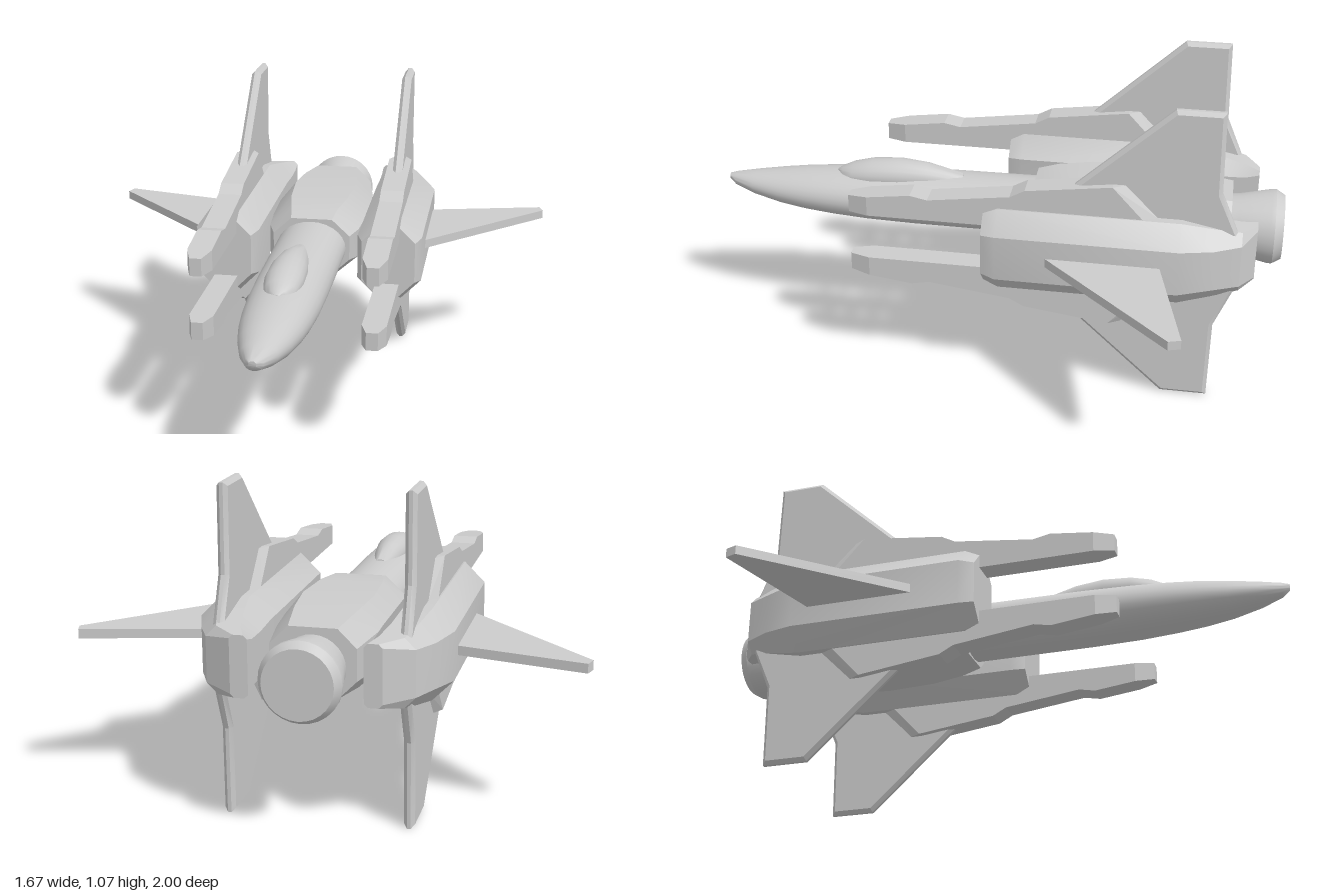
import * as THREE from 'three';
import { toCreasedNormals } from 'three/addons/utils/BufferGeometryUtils.js';

const MID = 0.54; // height of the horizontal symmetry plane
const material = new THREE.MeshStandardMaterial({ color: 0xcccccc });

// Skin closed rings of [x, y, z] (counter-clockwise from the front, listed front to back)
function loft(rings) {
  const n = rings[0].length, index = [];
  for (let i = 0; i < rings.length - 1; i++) {
    for (let j = 0; j < n; j++) {
      const a = i * n + j, b = i * n + (j + 1) % n, c = a + n, d = b + n;
      index.push(a, c, b, b, c, d);
    }
  }
  const last = (rings.length - 1) * n;
  for (let j = 1; j < n - 1; j++) {
    index.push(0, j, j + 1, last, last + j + 1, last + j);
  }
  const geo = new THREE.BufferGeometry();
  geo.setAttribute('position', new THREE.Float32BufferAttribute(rings.flat(2), 3));
  geo.setIndex(index);
  return geo;
}

// Ring of an ellipse
function ellipse(z, hw, y0, y1, n = 28) {
  return Array.from({ length: n }, (_, i) => {
    const a = (i / n) * Math.PI * 2;
    return [hw * Math.cos(a), (y0 + y1) / 2 + ((y1 - y0) / 2) * Math.sin(a), z];
  });
}

// Ring of a rectangle with cut corners
function octagon(z, x0, x1, y0, y1, cx, cy) {
  return [
    [x1, y0 + cy, z], [x1, y1 - cy, z], [x1 - cx, y1, z], [x0 + cx, y1, z],
    [x0, y1 - cy, z], [x0, y0 + cy, z], [x0 + cx, y0, z], [x1 - cx, y0, z],
  ];
}

// Mirror a geometry across the model's planes, keeping faces outward
function mirrored(geo, sx, sy) {
  const g = geo.index ? geo.toNonIndexed() : geo.clone();
  g.scale(sx, sy, 1);
  if (sy < 0) g.translate(0, 2 * MID, 0);
  if (sx * sy < 0) {
    const p = g.attributes.position;
    const b = new THREE.Vector3(), c = new THREE.Vector3();
    for (let i = 0; i < p.count; i += 3) {
      b.fromBufferAttribute(p, i + 1);
      c.fromBufferAttribute(p, i + 2);
      p.setXYZ(i + 1, c.x, c.y, c.z);
      p.setXYZ(i + 2, b.x, b.y, b.z);
    }
  }
  return g;
}

function plate(points, options) {
  const shape = new THREE.Shape(points.map(([x, y]) => new THREE.Vector2(x, y)));
  return new THREE.ExtrudeGeometry(shape, { bevelEnabled: false, ...options });
}

export function createModel() {
  const model = new THREE.Group();
  model.name = 'starfighter';
  const add = (name, geo, crease = 0.55) => {
    const mesh = new THREE.Mesh(toCreasedNormals(geo, crease), material);
    mesh.name = name;
    model.add(mesh);
  };

  // Slender nose and forward fuselage: z, half width, bottom, top
  add('noseFuselage', loft([
    [1.0, 0.012, 0.545, 0.567], [0.975, 0.03, 0.525, 0.573], [0.9, 0.06, 0.5, 0.584],
    [0.8, 0.086, 0.477, 0.598], [0.7, 0.104, 0.463, 0.61], [0.6, 0.115, 0.454, 0.618],
    [0.47, 0.123, 0.446, 0.625], [0.3, 0.126, 0.442, 0.63], [-0.2, 0.126, 0.44, 0.635],
  ].map((s) => ellipse(...s))), 0.9);

  // Teardrop canopy
  add('canopy', loft([
    [0.59, 0.012, 0.59, 0.62], [0.57, 0.038, 0.57, 0.632], [0.53, 0.056, 0.56, 0.65],
    [0.46, 0.066, 0.56, 0.667], [0.36, 0.064, 0.56, 0.675], [0.26, 0.052, 0.56, 0.667],
    [0.13, 0.03, 0.56, 0.636],
  ].map((s) => ellipse(...s, 20))), 0.9);

  // Faceted central body: z, half width, half height, corner cuts
  add('centralBody', loft([
    [-0.13, 0.14, 0.105, 0.065, 0.06], [-0.2, 0.165, 0.122, 0.08, 0.07],
    [-0.32, 0.174, 0.13, 0.068, 0.075], [-0.5, 0.178, 0.132, 0.06, 0.075],
    [-0.65, 0.164, 0.127, 0.06, 0.07], [-0.82, 0.138, 0.112, 0.06, 0.06],
  ].map(([z, w, h, cx, cy]) => octagon(z, -w, w, MID - h, MID + h, cx, cy))), 0.5);

  // Engine nozzle
  const nozzle = new THREE.LatheGeometry([
    [0, 0.78], [0.1, 0.78], [0.108, 0.85], [0.13, 0.955], [0.13, 0.97], [0.112, 1.0], [0, 1.0],
  ].map(([r, y]) => new THREE.Vector2(r, y)), 28);
  nozzle.rotateX(-Math.PI / 2).translate(0, 0.525, 0);
  add('engineNozzle', nozzle, 0.4);

  // Side nacelle, tapering toward the inside at the rear
  const nacelle = loft([
    [0, 0.2, 0.39, 0.128, 0.055], [-0.05, 0.18, 0.41, 0.15, 0.07],
    [-0.66, 0.18, 0.41, 0.15, 0.07], [-0.77, 0.18, 0.372, 0.128, 0.055],
    [-0.86, 0.18, 0.328, 0.11, 0.035], [-0.91, 0.18, 0.237, 0.1, 0.012],
  ].map(([z, x0, x1, h, c]) => octagon(z, x0, x1, MID - h, MID + h, c, c)));

  // Cannon pod: top z, top y, bottom z, bottom y, half width
  const POD_X = 0.293;
  const cannon = loft([
    [0.468, 0.684, 0.468, 0.622, 0.02], [0.4, 0.692, 0.4, 0.622, 0.042],
    [0.25, 0.711, 0.25, 0.622, 0.042], [0.19, 0.699, 0.19, 0.622, 0.042],
    [-0.09, 0.736, -0.09, 0.622, 0.042], [-0.14, 0.763, -0.14, 0.622, 0.042],
    [-0.43, 0.801, -0.56, 0.66, 0.042], [-0.48, 0.801, -0.62, 0.66, 0.012],
  ].map(([zt, yt, zb, yb, w]) => [
    [POD_X + w, yb, zb], [POD_X + w, yt, zt], [POD_X - w, yt, zt], [POD_X - w, yb, zb],
  ]));

  // Swept fin with bevelled edges, drawn as (-z, y)
  const fin = plate(
    [[0.2, 0.69], [0.24, 0.66], [0.85, 0.635], [0.785, 0.79], [0.78, 1.077], [0.62, 1.077]],
    { depth: 0.012, bevelEnabled: true, bevelSegments: 1, bevelSize: 0.013, bevelOffset: -0.013, bevelThickness: 0.012 },
  );
  fin.rotateY(Math.PI / 2).translate(POD_X - 0.006, 0, 0);

  // Flat swept wing, drawn as (x, -z)
  const wing = plate([[0.36, 0.17], [0.835, 0.655], [0.822, 0.695], [0.36, 0.588]], { depth: 0.031 });
  wing.rotateX(-Math.PI / 2).translate(0, MID - 0.0155, 0);

  for (const [side, sx] of [['left', 1], ['right', -1]]) {
    add(side + 'Nacelle', mirrored(nacelle, sx, 1), 0.45);
    add(side + 'Wing', mirrored(wing, sx, 1));
    for (const [level, sy] of [['Upper', 1], ['Lower', -1]]) {
      add(side + level + 'Cannon', mirrored(cannon, sx, sy), 0.1);
      add(side + level + 'Fin', mirrored(fin, sx, sy), 0.3);
    }
  }
  return model;
}
